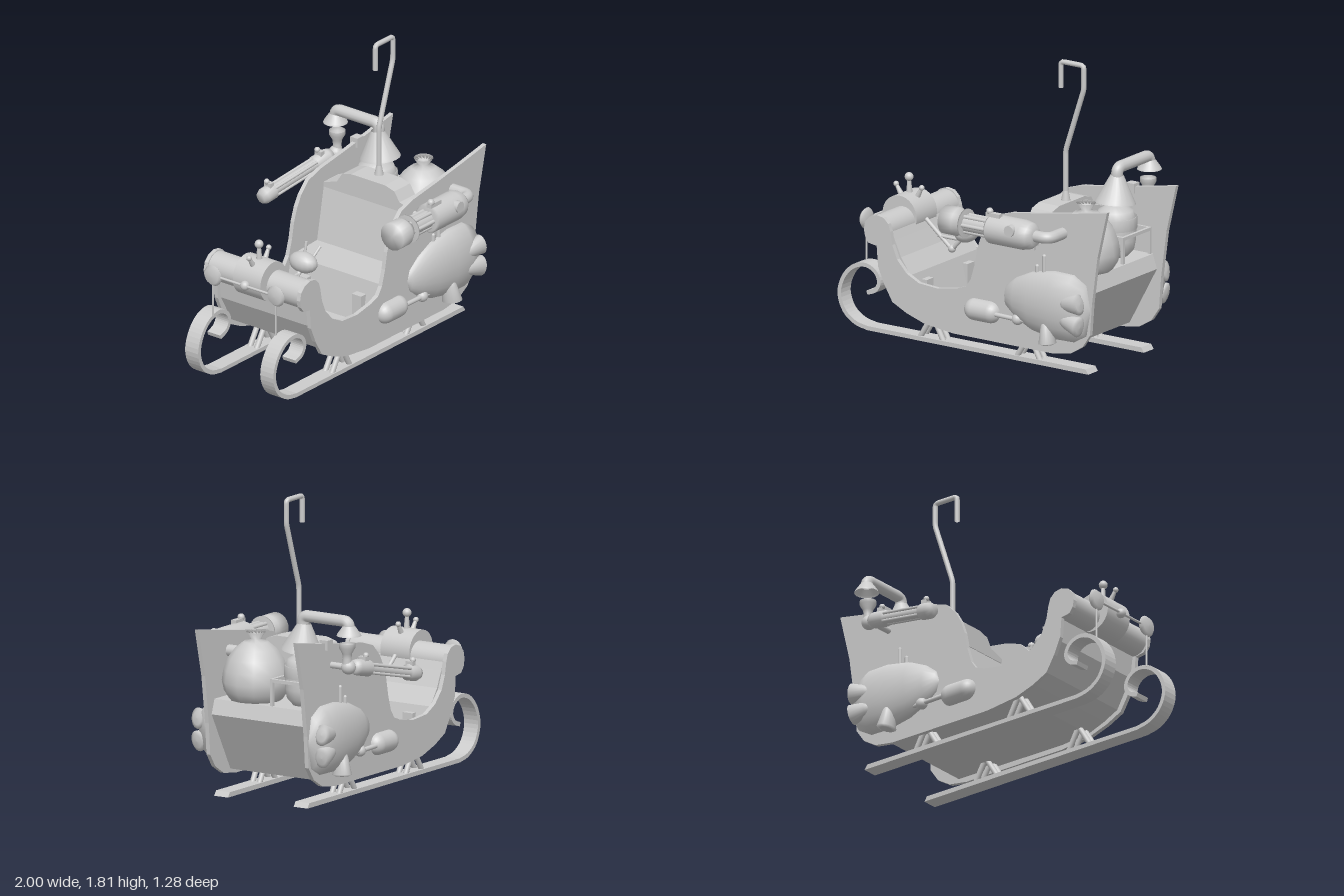
import * as THREE from 'three';

const V = (x, y, z) => new THREE.Vector3(x, y, z);
const UP = V(0, 1, 0);
const MID = 0.024; // z of the sleigh's centre plane
const material = new THREE.MeshStandardMaterial({ color: 0xcccccc, side: THREE.DoubleSide });

export function createModel() {
  const model = new THREE.Group();

  const add = (name, geometry, x = 0, y = 0, z = 0) => {
    const mesh = new THREE.Mesh(geometry, material);
    mesh.name = name;
    mesh.position.set(x, y, z);
    model.add(mesh);
    return mesh;
  };
  const box = (name, w, h, d, x, y, z) => add(name, new THREE.BoxGeometry(w, h, d), x, y, z);
  const ball = (name, r, x, y, z) => add(name, new THREE.SphereGeometry(r, 16, 12), x, y, z);
  // Straight round bar from a to b, optionally tapered
  const rod = (name, a, b, r, r2 = r, sides = 12) => {
    const mesh = add(name, new THREE.CylinderGeometry(r2, r, a.distanceTo(b), sides));
    mesh.position.copy(a).lerp(b, 0.5);
    mesh.quaternion.setFromUnitVectors(UP, b.clone().sub(a).normalize());
    return mesh;
  };
  // Turned part: [radius, distance] pairs, starting at origin and running along dir
  const turned = (name, profile, origin, dir = UP, sides = 20, start = 0, sweep = Math.PI * 2) => {
    const points = profile.map(([r, t]) => new THREE.Vector2(r, t));
    const mesh = add(name, new THREE.LatheGeometry(points, sides, start, sweep));
    mesh.position.copy(origin);
    mesh.quaternion.setFromUnitVectors(UP, dir.clone().normalize());
    return mesh;
  };
  // Bent pipe with straight runs and tight rounded corners
  const pipe = (name, points, r, bend = 0.04) => {
    const path = new THREE.CurvePath();
    let from = points[0];
    for (let i = 1; i < points.length - 1; i++) {
      const p = points[i];
      const a = p.clone().add(points[i - 1].clone().sub(p).setLength(bend));
      const b = p.clone().add(points[i + 1].clone().sub(p).setLength(bend));
      path.add(new THREE.LineCurve3(from, a));
      path.add(new THREE.QuadraticBezierCurve3(a, p, b));
      from = b;
    }
    path.add(new THREE.LineCurve3(from, points[points.length - 1]));
    return add(name, new THREE.TubeGeometry(path, 90, r, 12));
  };
  const slab = (name, outline, depth, z) => {
    const shape = new THREE.Shape(outline.map(([x, y]) => new THREE.Vector2(x, y)));
    return add(name, new THREE.ExtrudeGeometry(shape, { depth, bevelEnabled: false }), 0, 0, z);
  };

  // Side panels
  const panel = [
    [1, 1.04], [0.78, 1.0], [0.54, 0.96], [0.3, 0.925], [0.19, 0.89], [0.12, 0.82], [0.08, 0.75],
    [0.05, 0.665], [0.03, 0.56], [0, 0.46], [-0.035, 0.41], [-0.1, 0.385], [-0.24, 0.36], [-0.38, 0.37],
    [-0.47, 0.415], [-0.54, 0.49], [-0.575, 0.575], [-0.59, 0.655], [-0.605, 0.7], [-0.64, 0.733],
    [-0.69, 0.742], [-0.74, 0.725], [-0.773, 0.69], [-0.784, 0.64], [-0.775, 0.595], [-0.75, 0.56],
    [-0.69, 0.55], [-0.68, 0.425], [-0.634, 0.32], [-0.575, 0.22], [-0.47, 0.168], [-0.34, 0.125],
    [-0.125, 0.1], [0.6, 0.1], [0.73, 0.12], [0.82, 0.175], [0.875, 0.255], [0.89, 0.45], [0.93, 0.745],
  ];
  slab('leftSidePanel', panel, 0.027, MID + 0.342);
  slab('rightSidePanel', panel, 0.027, MID - 0.369);

  // Hull with dash, floor, seat and cargo deck in one section
  slab('hull', [
    [-0.67, 0.58], [-0.65, 0.42], [-0.6, 0.33], [-0.55, 0.24], [-0.45, 0.19], [-0.33, 0.145], [-0.12, 0.13],
    [0.66, 0.135], [0.86, 0.5], [0.83, 0.59], [0.48, 0.59], [0.48, 0.83], [0.34, 0.83], [0.27, 0.47],
    [0.02, 0.46], [-0.03, 0.2], [-0.41, 0.2], [-0.46, 0.4], [-0.53, 0.5], [-0.575, 0.6], [-0.6, 0.66],
  ], 0.684, MID - 0.342);
  const crest = [[-0.34, 0.8], [0.34, 0.8], [0.34, 0.83], [0.24, 0.86], [0.2, 0.92], [0.13, 0.94],
    [-0.13, 0.94], [-0.2, 0.92], [-0.24, 0.86], [-0.34, 0.83]];
  const seatBack = slab('seatBackCrest', crest, 0.15, MID);
  seatBack.rotation.y = Math.PI / 2;
  seatBack.position.x = 0.33;
  for (const s of [-1, 1]) {
    box('dashStrap', 0.05, 0.16, 0.07, -0.435, 0.275, MID + s * 0.21);
    box('seatStrap', 0.06, 0.18, 0.07, -0.015, 0.285, MID + s * 0.21);
  }

  // Front roll and the instrument band with its knobs
  const acrossZ = (name, x, y, r, half) => rod(name, V(x, y, MID - half), V(x, y, MID + half), r, r, 32);
  acrossZ('frontRoll', -0.685, 0.645, 0.09, 0.342);
  acrossZ('instrumentBand', -0.71, 0.672, 0.125, 0.105);
  const hub = V(-0.71, 0.672, MID);
  for (const [x, y, r] of [[-0.715, 0.89, 0.027], [-0.81, 0.83, 0.017], [-0.622, 0.835, 0.017]]) {
    const tip = V(x, y, MID);
    rod('knobStem', hub.clone().lerp(tip, 0.5), tip, 0.02, 0.01);
    ball('knob', r, x, y, MID);
  }

  // Steering arm and helm
  pipe('steeringArm', [V(-0.59, 0.65, MID), V(-0.4, 0.49, MID), V(-0.3, 0.6, MID)], 0.013, 0.02);
  rod('steeringBrace', V(-0.5, 0.56, MID), V(-0.32, 0.56, MID), 0.01);
  ball('steeringJoint', 0.024, -0.4, 0.495, MID);
  ball('helm', 0.065, -0.29, 0.62, MID).scale.z = 1.5;
  rod('helmLever', V(-0.28, 0.65, MID), V(-0.262, 0.745, MID), 0.009);
  rod('helmLever', V(-0.26, 0.64, MID + 0.04), V(-0.18, 0.695, MID + 0.04), 0.009);

  // Front lamps on the runner curls
  rod('lampCrossbar', V(-0.855, 0.665, MID - 0.24), V(-0.855, 0.665, MID + 0.24), 0.008);
  ball('crossbarBoss', 0.03, -0.85, 0.665, MID);
  for (const s of [-1, 1]) {
    const z = MID + s * 0.24;
    turned('frontLamp', [[0, -0.02], [0.05, -0.018], [0.066, 0], [0.05, 0.018], [0, 0.02]], V(-0.855, 0.665, z), V(-1, 0, 0));
    rod('lampPost', V(-0.855, 0.4, z), V(-0.855, 0.61, z), 0.006);
  }

  // Runners with curled fronts, and their struts
  const curl = new THREE.CatmullRomCurve3([
    V(-0.78, 0.015, 0), V(-0.87, 0.035, 0), V(-0.95, 0.095, 0), V(-0.988, 0.2, 0), V(-0.955, 0.31, 0),
    V(-0.88, 0.385, 0), V(-0.79, 0.405, 0), V(-0.72, 0.37, 0), V(-0.697, 0.31, 0), V(-0.725, 0.26, 0), V(-0.785, 0.235, 0),
  ]).getPoints(40);
  const offset = (d) => curl.map((p, i) => {
    const t = curl[Math.min(i + 1, 40)].clone().sub(curl[Math.max(i - 1, 0)]).normalize();
    return [p.x - t.y * d, p.y + t.x * d];
  });
  const runner = [[0.84, 0], [0.82, 0.03], ...offset(-0.013), ...offset(0.013).reverse()];
  for (const s of [-1, 1]) {
    const z = MID + s * 0.287;
    slab('runner', runner, 0.1, z - 0.05);
    for (const [foot, top] of [[-0.41, -0.33], [-0.24, -0.31], [0.3, 0.38], [0.47, 0.4]]) {
      for (const dz of [-0.025, 0.025]) rod('runnerStrut', V(foot, 0.02, z + dz), V(top, 0.15, z + dz), 0.017);
    }
  }

  // Engine pods, nozzles, tanks and vents on both sides
  for (const s of [-1, 1]) {
    const z = MID + s * 0.36;
    const out = MID + s * 0.43;
    const pod = turned('enginePod', [[0, 0], [0.07, 0.025], [0.13, 0.1], [0.185, 0.22], [0.215, 0.38],
      [0.212, 0.52], [0.16, 0.61], [0, 0.64]], V(0.24, 0.405, z), V(1, 0, 0), 10, -s * Math.PI / 2, Math.PI);
    pod.scale.z = 0.5;
    const nozzle = [[0, 0], [0.03, 0.005], [0.045, 0.05], [0.065, 0.15], [0.04, 0.16], [0, 0.163]];
    turned('rearNozzle', nozzle, V(0.7, 0.44, out), V(1, 0.15, s * 0.12)).scale.z = 0.8;
    turned('rearNozzle', nozzle, V(0.7, 0.345, out), V(1, -0.15, s * 0.12)).scale.z = 0.8;
    turned('lowerNozzle', nozzle, V(0.585, 0.325, out - s * 0.02), V(0.12, -1, s * 0.1)).scale.z = 0.8;
    const tank = add('fuelTank', new THREE.CapsuleGeometry(0.068, 0.115, 8, 20), 0.09, 0.28, z + s * 0.005);
    tank.rotation.z = Math.PI / 2;
    rod('fuelLine', V(0.2, 0.28, z + s * 0.035), V(0.46, 0.275, z + s * 0.035), 0.014);
    ball('fuelValve', 0.036, 0.36, 0.278, z + s * 0.03);
    add('vent', new THREE.CapsuleGeometry(0.013, 0.05, 4, 10), 0.49, 0.6, z + s * 0.01);
    add('vent', new THREE.CapsuleGeometry(0.013, 0.11, 4, 10), 0.542, 0.64, z + s * 0.01);
  }

  // Hooked pole
  turned('poleBase', [[0.034, 0], [0.028, 0.04], [0.016, 0.1]], V(0.435, 0.9, MID));
  pipe('hookedPole', [V(0.435, 0.88, MID), V(0.435, 1.25, MID), V(0.568, 1.65, MID), V(0.568, 1.797, MID),
    V(0.4, 1.797, MID), V(0.4, 1.635, MID)], 0.016, 0.022);

  // Sack
  turned('sack', [[0, 0], [0.16, 0], [0.192, 0.05], [0.205, 0.11], [0.195, 0.18], [0.168, 0.25], [0.125, 0.31],
    [0.075, 0.35], [0.03, 0.368], [0.06, 0.41], [0.03, 0.39], [0, 0.38]], V(0.685, 0.59, 0.165), UP, 12);

  // Boiler in its rack
  const bx = 0.66, bz = -0.175;
  turned('boiler', [[0, 0], [0.075, 0], [0.11, 0.04], [0.122, 0.1], [0.124, 0.23], [0.105, 0.28], [0.05, 0.31], [0, 0.31]], V(bx, 0.59, bz));
  turned('boilerCollar', [[0.118, 0], [0.129, 0], [0.129, 0.07], [0.118, 0.07]], V(bx, 0.76, bz));
  for (const s of [-1, 1]) {
    box('rackRail', 0.32, 0.02, 0.02, bx, 0.745, bz + s * 0.138);
    box('rackRail', 0.02, 0.02, 0.28, bx + s * 0.15, 0.745, bz);
    for (const t of [-1, 1]) box('rackPost', 0.02, 0.16, 0.02, bx + s * 0.15, 0.67, bz + t * 0.138);
  }
  turned('boilerHood', [[0.125, 0], [0.12, 0.012], [0.04, 0.17]], V(bx + 0.01, 0.92, -0.155), V(0, 1, -0.12));
  pipe('flue', [V(0.675, 1.05, -0.168), V(0.675, 1.135, -0.168), V(0.675, 1.135, -0.5), V(0.675, 1.09, -0.5)], 0.036, 0.04);
  turned('flueOutlet', [[0.075, 0], [0.07, 0.012], [0.036, 0.06]], V(0.675, 1.05, -0.5));

  // Left cannon, aimed forward
  const gy = 0.855, gz = 0.535;
  const cannon = (name, profile) => turned(name, profile, V(0, gy, gz), V(1, 0, 0), 24);
  cannon('cannonMuzzle', [[0, -0.08], [0.087, -0.08], [0.087, 0.015], [0.06, 0.06], [0, 0.06]]);
  cannon('cannonRing', [[0, 0.065], [0.088, 0.065], [0.088, 0.074], [0, 0.074]]);
  cannon('cannonBarrel', [[0.053, 0.06], [0.053, 0.27]]);
  cannon('cannonBody', [[0, 0.25], [0.08, 0.25], [0.091, 0.265], [0.091, 0.5], [0.08, 0.55], [0.055, 0.58], [0, 0.58]]);
  for (let i = 0; i < 6; i++) {
    const a = (i / 6) * Math.PI * 2, y = gy + 0.053 * Math.sin(a), z = gz + 0.053 * Math.cos(a);
    rod('cannonRod', V(0.05, y, z), V(0.27, y, z), 0.012);
  }
  pipe('cannonFeed', [V(0.56, 0.86, gz), V(0.675, 0.86, gz), V(0.675, 0.86, 0.26)], 0.036, 0.06);
  rod('cannonDial', V(0.45, 0.89, gz + 0.05), V(0.45, 0.89, gz + 0.1), 0.035);
  box('cannonSight', 0.1, 0.025, 0.035, 0.29, 0.95, gz + 0.025);
  ball('sightBead', 0.022, 0.26, 0.968, gz + 0.025);
  box('cannonCradle', 0.22, 0.02, 0.03, 0.39, 0.765, 0.4);
  for (const x of [0.31, 0.47]) {
    box('cradleFoot', 0.02, 0.05, 0.03, x, 0.75, 0.4);
    rod('cannonMount', V(x, 0.83, gz), V(x, 0.83, MID + 0.35), 0.018);
  }

  // Right cannon, slimmer and tilted down
  const rear = V(0.64, 0.855, -0.5);
  const aim = V(0.06, 0.725, -0.605).sub(rear);
  const at = (t) => rear.clone().addScaledVector(aim.clone().normalize(), t);
  turned('slimCannon', [[0, 0], [0.04, 0.01], [0.05, 0.04], [0.05, 0.14], [0.033, 0.14], [0.033, 0.48], [0.05, 0.48],
    [0.05, 0.55], [0.035, 0.58], [0, 0.58]], rear, aim);
  for (let i = 0; i < 4; i++) {
    const a = (i / 4 + 0.125) * Math.PI * 2;
    const d = V(0, 0.036 * Math.sin(a), 0.036 * Math.cos(a));
    rod('slimCannonRod', at(0.12).add(d), at(0.49).add(d), 0.01);
  }
  for (const t of [0.1, 0.51]) {
    const p = at(t);
    box('slimCannonClamp', 0.035, 0.05, 0.05, p.x, p.y + 0.045, p.z);
    ball('clampBead', 0.018, p.x - 0.01, p.y + 0.075, p.z - 0.01);
  }
  turned('intakeTrumpet', [[0.03, 0], [0.026, 0.05], [0.03, 0.08], [0.05, 0.115], [0.05, 0.14]], V(0.675, 0.86, -0.487));
  ball('intakeElbow', 0.045, 0.665, 0.855, -0.49);
  rod('slimCannonMount', V(0.63, 0.845, MID - 0.35), V(0.63, 0.845, -0.49), 0.02);
  box('mountPlate', 0.06, 0.06, 0.055, 0.67, 0.975, -0.333);

  return model;
}
